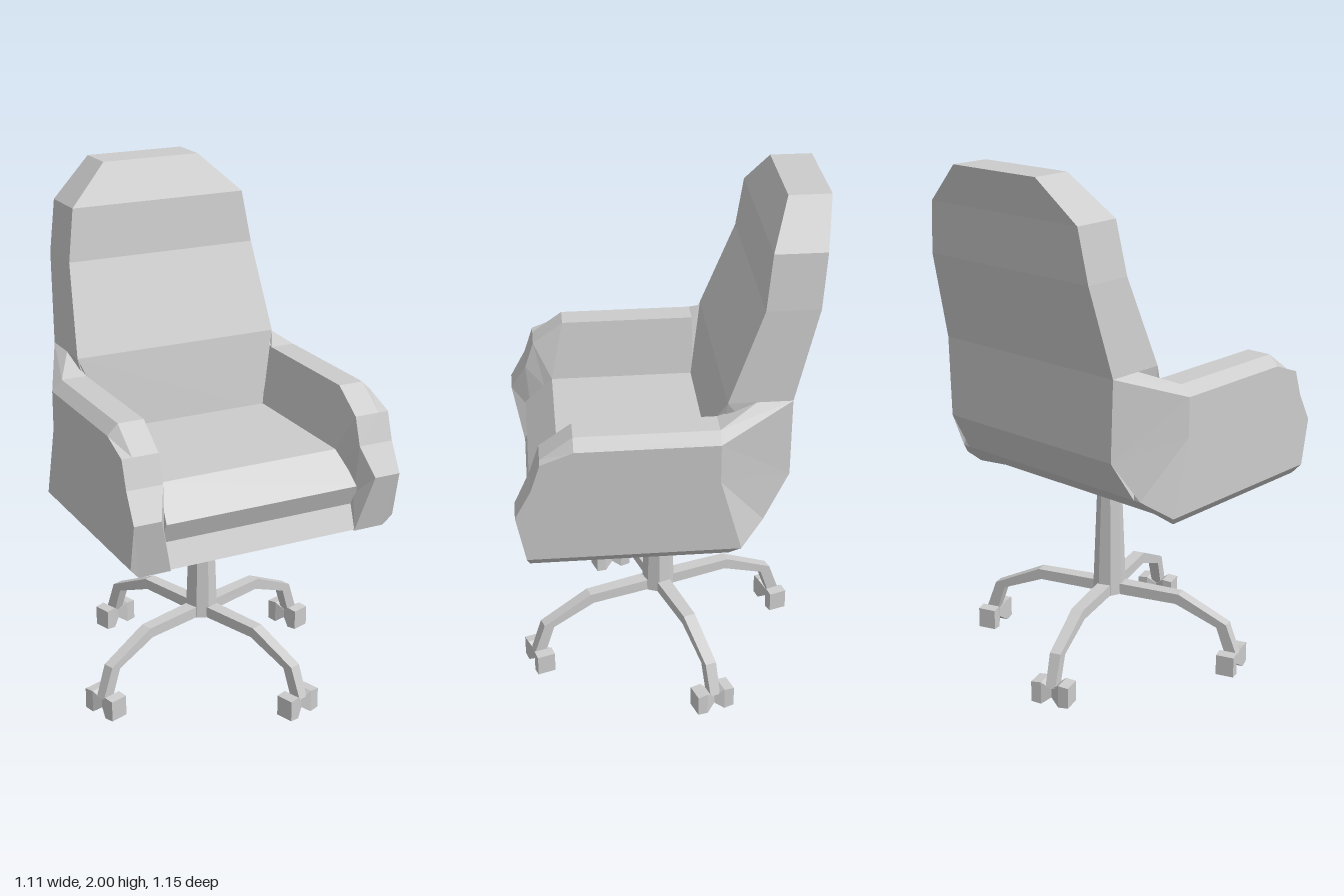
import * as THREE from 'three';

const material = new THREE.MeshStandardMaterial({ color: 0xcccccc, flatShading: true });

// Closed solid through loops of [x, y, z] points with equal counts, capped at both ends
function loft(loops) {
  const tris = [];
  const n = loops[0].length;
  for (let k = 0; k < loops.length - 1; k++) {
    for (let i = 0; i < n; i++) {
      const j = (i + 1) % n;
      const a = loops[k][i], b = loops[k][j], c = loops[k + 1][j], d = loops[k + 1][i];
      tris.push([a, b, c], [a, c, d]);
    }
  }
  const cap = (loop, flip) => {
    const mid = [0, 1, 2].map(q => loop.reduce((s, p) => s + p[q], 0) / n);
    loop.forEach((p, i) => {
      const next = loop[(i + 1) % n];
      tris.push(flip ? [mid, next, p] : [mid, p, next]);
    });
  };
  cap(loops[0], true);
  cap(loops[loops.length - 1], false);

  // Turn every face outward, whichever way the loops run
  const v = tris.map(t => t.map(p => new THREE.Vector3(...p)));
  const volume = v.reduce((s, [a, b, c]) => s + a.dot(b.clone().cross(c)), 0);
  if (volume < 0) v.forEach(t => t.reverse());
  const geometry = new THREE.BufferGeometry().setFromPoints(v.flat());
  geometry.computeVertexNormals();
  return geometry;
}

function part(name, geometry) {
  const mesh = new THREE.Mesh(geometry, material);
  mesh.name = name;
  return mesh;
}

const mirrorX = (loop, side) => loop.map(([x, y, z]) => [x * side, y, z]);

// Rectangle in the horizontal plane, with separate front and back half-widths
const slab = (y, wf, wb, zf, zb) => [[-wf, y, zf], [wf, y, zf], [wb, y, zb], [-wb, y, zb]];

function createBackrest() {
  return part('backrest', loft([
    slab(2.0, 0.2, 0.2, -0.42, -0.575),
    slab(1.85, 0.36, 0.36, -0.35, -0.54),
    slab(1.65, 0.39, 0.39, -0.325, -0.52),
    slab(1.31, 0.42, 0.42, -0.195, -0.43),
    slab(1.0, 0.36, 0.41, -0.15, -0.43),
    slab(0.84, 0.36, 0.43, -0.15, -0.33),
    slab(0.73, 0.38, 0.39, -0.1, -0.17),
  ]));
}

function createSeat() {
  const seat = new THREE.Group();
  seat.name = 'seat';
  // Cushion with an overhanging front edge above a lower lip
  const profile = [
    [0.37, 1.02, -0.17], [0.37, 1.02, 0.41], [0.39, 0.905, 0.52],
    [0.41, 0.825, 0.49], [0.385, 0.735, 0.53], [0.385, 0.73, -0.17],
  ];
  seat.add(part('seatCushion', loft([mirrorX(profile, -1), profile])));
  seat.add(part('seatPan', loft([
    slab(0.735, 0.39, 0.39, 0.53, -0.17),
    slab(0.68, 0.2, 0.2, 0.31, -0.04),
  ])));
  return seat;
}

function createArm(side) {
  const arm = new THREE.Group();
  arm.name = side > 0 ? 'leftArm' : 'rightArm';

  // Side profiles from the outer wall to the inner wall
  const loops = [
    [[0.54, 1.21, -0.16], [0.54, 1.21, 0.36], [0.54, 1.165, 0.48], [0.54, 1.06, 0.515],
      [0.54, 0.95, 0.575], [0.54, 0.77, 0.54], [0.54, 0.77, -0.24], [0.54, 1.06, -0.16]],
    [[0.5, 1.25, -0.16], [0.5, 1.25, 0.36], [0.5, 1.165, 0.48], [0.5, 1.06, 0.515],
      [0.5, 0.95, 0.575], [0.505, 0.73, 0.53], [0.505, 0.73, -0.2], [0.5, 1.06, -0.16]],
    [[0.4, 1.25, -0.16], [0.4, 1.25, 0.36], [0.4, 1.165, 0.48], [0.4, 1.06, 0.515],
      [0.435, 0.95, 0.575], [0.39, 0.73, 0.53], [0.39, 0.73, -0.17], [0.4, 1.06, -0.16]],
    [[0.36, 1.02, -0.16], [0.36, 1.02, 0.36], [0.36, 1.02, 0.41], [0.37, 0.98, 0.44],
      [0.39, 0.87, 0.5], [0.38, 0.73, 0.53], [0.38, 0.73, -0.17], [0.36, 1.0, -0.16]],
  ];
  arm.add(part('armrest', loft(loops.map(l => mirrorX(l, side)))));

  // Faceted transition from the end of the arm into the backrest
  const armEnd = [
    [0.4, 1.25, -0.16], [0.5, 1.25, -0.16], [0.54, 1.21, -0.16], [0.54, 1.06, -0.16],
    [0.54, 0.77, -0.24], [0.505, 0.73, -0.2], [0.39, 0.73, -0.17], [0.36, 1.02, -0.15],
  ];
  const backEdge = [
    [0.42, 1.31, -0.195], [0.42, 1.31, -0.3], [0.42, 1.31, -0.43], [0.41, 1.0, -0.43],
    [0.46, 0.84, -0.33], [0.43, 0.84, -0.33], [0.39, 0.73, -0.17], [0.36, 1.02, -0.17],
  ];
  arm.add(part('armJoint', loft([mirrorX(armEnd, side), mirrorX(backEdge, side)])));
  return arm;
}

// Leg running along +x, with a bow-tie caster whose axle lies across it
function createLeg() {
  const leg = new THREE.Group();
  leg.name = 'leg';
  const stations = [ // top r, top y, bottom r, bottom y, half width
    [0.02, 0.29, 0.02, 0.245, 0.028],
    [0.305, 0.287, 0.293, 0.245, 0.024],
    [0.505, 0.192, 0.465, 0.175, 0.022],
    [0.55, 0.07, 0.505, 0.06, 0.02],
  ];
  leg.add(part('legArm', loft(stations.map(([tr, ty, br, by, w]) =>
    [[tr, ty, -w], [tr, ty, w], [br, by, w], [br, by, -w]]))));

  const wheels = [[-0.076, 0.036, 0.041], [-0.036, 0.036, 0.045], [0, 0.02, 0.018],
    [0.036, 0.036, 0.045], [0.076, 0.036, 0.041]];
  const caster = part('caster', loft(wheels.map(([z, r, h]) =>
    [[-r, -h, z], [r, -h, z], [r, h, z], [-r, h, z]])));
  caster.position.set(0.522, 0.045, 0);
  leg.add(caster);
  return leg;
}

function createBase() {
  const base = new THREE.Group();
  base.name = 'base';
  const column = part('column', new THREE.CylinderGeometry(0.048, 0.066, 0.46, 8));
  column.position.y = 0.475;
  base.add(column);
  for (let i = 0; i < 4; i++) {
    const leg = createLeg();
    leg.rotation.y = THREE.MathUtils.degToRad(18.5 + i * 90);
    base.add(leg);
  }
  base.position.z = 0.015;
  return base;
}

export function createModel() {
  const chair = new THREE.Group();
  chair.name = 'officeChair';
  chair.add(createBackrest(), createSeat(), createArm(1), createArm(-1), createBase());
  return chair;
}
